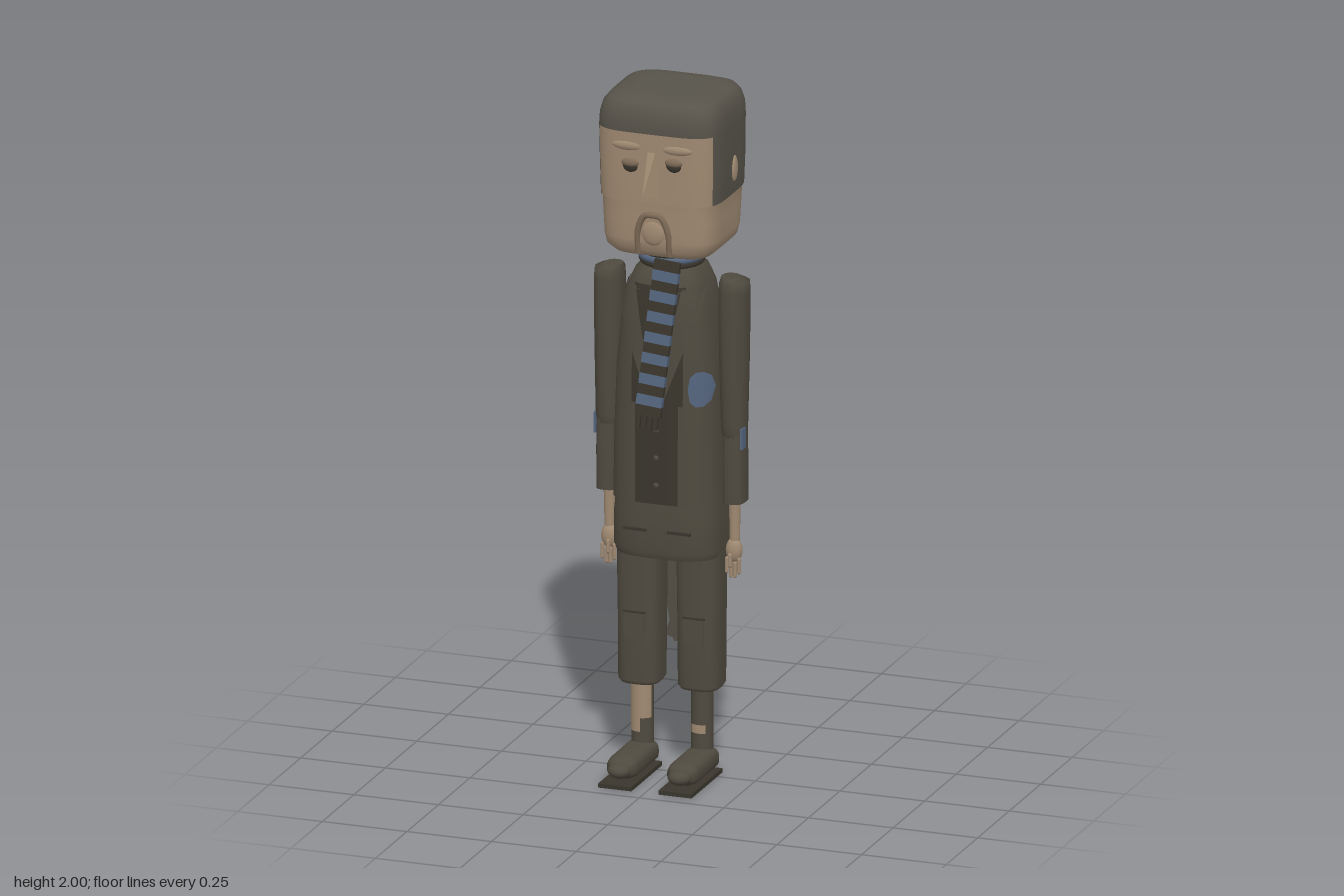
import * as THREE from 'three';
import { ConvexGeometry } from 'three/addons/geometries/ConvexGeometry.js';

const mat = (name, color) => {
  const m = new THREE.MeshStandardMaterial({ color, side: THREE.DoubleSide });
  m.name = name;
  return m;
};

// Loft of superellipse rings [y, halfX, halfZ, centreZ, centreX]; pick(x, y, z) chooses a material group
function loft(rings, n = 3, seg = 32, pick = null) {
  const pos = [], groups = [[], []];
  const point = ([y, w, d, cz = 0, cx = 0], j) => {
    const t = (j / seg) * Math.PI * 2, c = Math.cos(t), s = Math.sin(t);
    return [cx + w * Math.sign(c) * Math.abs(c) ** (2 / n), y, cz + d * Math.sign(s) * Math.abs(s) ** (2 / n)];
  };
  rings.forEach((r) => { for (let j = 0; j < seg; j++) pos.push(...point(r, j)); });
  for (let i = 0; i < rings.length - 1; i++) {
    for (let j = 0; j < seg; j++) {
      const k = (j + 1) % seg, a = i * seg + j, b = i * seg + k, c = b + seg, d = a + seg;
      const mid = [0, 1, 2].map((q) => (pos[a * 3 + q] + pos[c * 3 + q]) / 2);
      groups[pick && pick(...mid) ? 1 : 0].push(a, d, c, a, c, b);
    }
  }
  // End caps with their own vertices
  [0, rings.length - 1].forEach((i) => {
    const r = rings[i], base = pos.length / 3, top = i > 0;
    pos.push(r[4] || 0, r[0], r[3] || 0);
    for (let j = 0; j < seg; j++) pos.push(...point(r, j));
    for (let j = 0; j < seg; j++) {
      const p = base + 1 + j, q = base + 1 + ((j + 1) % seg);
      groups[pick && top ? 1 : 0].push(base, ...(top ? [q, p] : [p, q]));
    }
  });
  const g = new THREE.BufferGeometry();
  g.setAttribute('position', new THREE.Float32BufferAttribute(pos, 3));
  g.setIndex([...groups[0], ...groups[1]]);
  if (pick) {
    g.addGroup(0, groups[0].length, 0);
    g.addGroup(groups[0].length, groups[1].length, 1);
  }
  g.computeVertexNormals();
  return g;
}

// Coat body profile, also used to lay flat details on its front
const coatRings = [
  [0.81, 0.157, 0.124, -0.01], [1.0, 0.154, 0.122, -0.01], [1.2, 0.147, 0.12, -0.01], [1.36, 0.13, 0.114, -0.011],
  [1.43, 0.115, 0.108, -0.012], [1.475, 0.095, 0.094, -0.012], [1.5, 0.07, 0.07, -0.012],
];
function coatFront(x, y) {
  let i = 0;
  while (i < coatRings.length - 2 && coatRings[i + 1][0] < y) i++;
  const a = coatRings[i], b = coatRings[i + 1], t = (y - a[0]) / (b[0] - a[0]);
  const [w, d, cz] = [1, 2, 3].map((k) => a[k] + (b[k] - a[k]) * t);
  return cz + d * Math.max(0, 1 - Math.min(1, Math.abs(x / w)) ** 3) ** (1 / 3);
}
// Grid patch laid over the coat front; fn(u, v) gives [x, y]
function drape(fn, lift) {
  const g = new THREE.PlaneGeometry(1, 1, 10, 16), p = g.attributes.position;
  for (let i = 0; i < p.count; i++) {
    const [x, y] = fn(p.getX(i) + 0.5, p.getY(i) + 0.5);
    p.setXYZ(i, x * (1 + lift * 4), y, coatFront(x, y) + lift);
  }
  g.computeVertexNormals();
  return g;
}

export function createModel() {
  const coat = mat('coat brown', 0x4f4a3f), hair = mat('hair brown', 0x57534a), dark = mat('dark cloth', 0x3a362d);
  const skin = mat('skin', 0xa08a72), blue = mat('faded blue', 0x55657f), shadeSkin = mat('moustache tan', 0x7d6a56);
  const model = new THREE.Group();
  const add = (name, geo, m, pos = [0, 0, 0], parent = model) => {
    const mesh = new THREE.Mesh(geo, m);
    mesh.name = name;
    mesh.position.set(...pos);
    parent.add(mesh);
    return mesh;
  };
  const ball = (name, m, pos, scale, parent) => {
    const b = add(name, new THREE.SphereGeometry(1, 20, 14), m, pos, parent);
    b.scale.set(...scale);
    return b;
  };
  const box = (w, h, d) => new THREE.BoxGeometry(w, h, d);

  // Head: block with rounded edges, hair on top, sides and back
  const headRings = [
    [1.535, 0.11, 0.1, -0.012], [1.54, 0.14, 0.13, -0.012], [1.56, 0.162, 0.148, -0.012], [1.59, 0.168, 0.154, -0.013],
    [1.65, 0.171, 0.157, -0.014], [1.7, 0.173, 0.159, -0.014], [1.702, 0.178, 0.162, -0.015], [1.8, 0.181, 0.165, -0.016],
    [1.905, 0.182, 0.167, -0.014], [1.94, 0.18, 0.166, -0.014], [1.97, 0.172, 0.157, -0.014], [1.988, 0.157, 0.143, -0.014],
    [1.997, 0.135, 0.12, -0.014], [2.0, 0.1, 0.09, -0.014],
  ];
  add('head', loft(headRings, 4.5, 64, (x, y, z) => y > 1.905 || (y > 1.7 && z < 0.11)), [skin, hair]);
  const v = (x, y, z) => new THREE.Vector3(x, y, z);
  add('nose', new ConvexGeometry([v(-0.01, 1.735, 0.199), v(-0.03, 1.715, 0.14), v(0.025, 1.715, 0.14),
    v(-0.012, 1.86, 0.148), v(0.012, 1.86, 0.148), v(0, 1.79, 0.168)]), skin);
  for (const s of [-1, 1]) {
    const y = s > 0 ? 1.82 : 1.808;
    ball('ear', skin, [s * 0.181, 1.775, -0.02], [0.008, 0.038, 0.018]);
    ball('eye', dark, [s * 0.064, y, 0.147], [0.023, 0.02, 0.009]);
    ball('eyelid', shadeSkin, [s * 0.064, y + 0.008, 0.148], [0.026, 0.013, 0.011]);
    ball('brow', skin, [s * 0.07, 1.865, 0.143], [0.05, 0.016, 0.013]);
  }
  const droop = new THREE.CatmullRomCurve3([v(-0.046, 1.55, 0.133), v(-0.044, 1.62, 0.142), v(-0.024, 1.663, 0.145),
    v(0, 1.668, 0.147), v(0.024, 1.663, 0.145), v(0.044, 1.62, 0.142), v(0.046, 1.55, 0.133)]);
  add('moustache', new THREE.TubeGeometry(droop, 40, 0.009, 8), shadeSkin);
  ball('mouth', skin, [0, 1.615, 0.137], [0.036, 0.038, 0.012]);

  // Neck and wound scarf
  add('neck', new THREE.CylinderGeometry(0.07, 0.07, 0.08, 24), skin, [0, 1.52, -0.012]);
  [[1.498, dark, 0.082], [1.513, blue, 0.086], [1.53, dark, 0.083]].forEach(([y, m, r]) => {
    add('scarfLoop', new THREE.TorusGeometry(r, 0.011, 8, 32), m, [0, y, -0.012]).rotation.x = Math.PI / 2;
  });

  // Hanging scarf end with stripes and fringe
  const scarf = new THREE.Group();
  scarf.name = 'scarfEnd';
  scarf.position.set(0.03, 1.525, 0.102);
  scarf.rotation.set(-0.115, 0, -0.09);
  model.add(scarf);
  for (let i = 0; i < 15; i++) {
    add('scarfStripe', box(0.076, 0.0297, i % 2 ? 0.017 : 0.013), i % 2 ? blue : dark, [0, -0.015 - i * 0.0297, 0], scarf);
  }
  for (let i = 0; i < 4; i++) {
    add('fringe', box(0.01, 0.04, 0.009), dark, [-0.025 + i * 0.017, -0.463, 0], scarf);
  }

  // Coat with skirt, waistcoat, lapels, buttons and patch
  add('coatBody', loft(coatRings, 3, 48), coat);
  add('coatSkirt', loft([[0.65, 0.15, 0.112, -0.012], [0.67, 0.156, 0.12, -0.012], [0.76, 0.156, 0.125, -0.012],
    [0.84, 0.148, 0.12, -0.012]], 3, 48), coat);
  add('waistcoat', drape((u, w) => [(u - 0.5) * 0.15, 0.815 + w * 0.63], 0.002), dark);
  for (const s of [-1, 1]) {
    add('lapel', drape((u, w) => {
      const y = 1.08 + w * 0.36, inner = 0.003 + w * 0.062, outer = 0.008 + 0.105 * Math.min(1, w / 0.8);
      return [s * (inner + (outer - inner) * u), y];
    }, 0.008), coat);
    add('frontEdge', drape((u, w) => [s * (0.062 + u * 0.022), 0.815 + w * 0.29], 0.004), coat);
    add('pocketFold', box(0.07, 0.008, 0.006), dark, [s * 0.065, 0.735, 0.112]);
  }
  for (let i = 0; i < 3; i++) ball('button', coat, [0, 0.87 + i * 0.08, 0.117], [0.008, 0.008, 0.005]);
  add('bluePatch', drape((u, w) => {
    const a = u * Math.PI * 2;
    return [0.117 + 0.029 * w * Math.cos(a), 1.155 + 0.052 * w * Math.sign(Math.sin(a)) * Math.abs(Math.sin(a)) ** 0.7];
  }, 0.005), blue);

  // Tails crossing in a V behind the coat
  for (const s of [-1, 1]) {
    const tail = add('coatTail', box(0.07, 0.53, 0.014), coat, [s * 0.055, 0.612, -0.128 + s * 0.002]);
    tail.rotation.order = 'XYZ';
    tail.rotation.set(-0.16, 0, -s * 0.26);
  }

  // Winding key on the back
  add('keyStem', new THREE.CylinderGeometry(0.011, 0.011, 0.075, 12), skin, [0, 1.15, -0.158]).rotation.x = Math.PI / 2;
  ball('keyHub', dark, [0, 1.15, -0.194], [0.018, 0.018, 0.013]);
  for (const s of [-1, 1]) ball('keyWing', skin, [s * 0.058, 1.15, -0.194], [0.049, 0.041, 0.011]);

  for (const s of [-1, 1]) {
    const left = s > 0;
    // Arm: angular sleeve, narrower forearm, wrist and hand
    add('upperArm', loft([[1.0, 0.033, 0.038, -0.01, s * 0.185], [1.03, 0.036, 0.046, -0.01, s * 0.185],
      [1.25, 0.042, 0.05, -0.012, s * 0.184], [1.42, 0.044, 0.05, -0.012, s * 0.184],
      [1.45, 0.042, 0.046, -0.012, s * 0.184], [1.462, 0.026, 0.03, -0.012, s * 0.172]], 2.2, 10), coat);
    add('forearm', loft([[0.808, 0.031, 0.042, -0.013, s * 0.187], [0.93, 0.031, 0.043, -0.013, s * 0.187],
      [1.06, 0.029, 0.038, -0.013, s * 0.187]], 3, 16), coat);
    add('elbowPatch', box(0.006, 0.06, 0.03), blue, [s * 0.217, 1.0, 0.008]);
    add('wrist', new THREE.CylinderGeometry(0.017, 0.014, 0.13, 12), skin, [s * 0.185, 0.75, -0.012]);
    ball('palm', skin, [s * 0.184, 0.665, -0.01], [0.024, 0.036, 0.02]);
    for (let i = 0; i < 4; i++) {
      add('finger', new THREE.CapsuleGeometry(0.0055, 0.038, 4, 8), skin, [s * (0.166 + i * 0.012), 0.616 + (i % 3 ? -0.006 : 0.006), 0.0]);
    }
    add('thumb', new THREE.CapsuleGeometry(0.006, 0.03, 4, 8), skin, [s * 0.18, 0.64, 0.014]);

    // Leg: short trouser, knee patch, shin with worn stocking
    const x = s * 0.088;
    add('trouserLeg', loft([[0.257, 0.055, 0.056, -0.012, x], [0.268, 0.062, 0.064, -0.012, x],
      [0.45, 0.063, 0.066, -0.012, x], [0.66, 0.066, 0.067, -0.012, x]], 3, 32), coat);
    add('kneePatch', box(0.06, 0.07, 0.008), coat, [x, 0.435, 0.053]);
    add('kneeSeam', box(0.064, 0.005, 0.008), dark, [x, 0.472, 0.054]);
    const shin = (y0, y1, r, m, start = 0, len = Math.PI * 2, name = 'stocking') =>
      add(name, new THREE.CylinderGeometry(r, r, y1 - y0, 24, 1, true, start, len), m, [x, (y0 + y1) / 2, -0.015]);
    shin(0.06, 0.27, 0.031, coat);
    if (left) {
      shin(0.125, 0.15, 0.033, skin, -0.8, 1.4, 'bareShin');
      shin(0.225, 0.27, 0.033, skin, 2.2, 1.8, 'bareShin');
    } else {
      shin(0.15, 0.27, 0.033, skin, -1.5, 2.7, 'bareShin');
      shin(0.11, 0.15, 0.033, skin, -1.2, 1.3, 'bareShin');
      shin(0.22, 0.27, 0.033, skin, 2.2, 1.8, 'bareShin');
    }

    // Shoe: flat sole, long rounded upper, small toe
    add('sole', box(0.098, 0.012, 0.245), dark, [s * 0.089, 0.006, 0.0825]);
    const upper = add('shoeUpper', loft([[-0.032, 0.04, 0.028], [-0.025, 0.045, 0.033], [0.13, 0.045, 0.033],
      [0.155, 0.042, 0.029], [0.168, 0.03, 0.019]], 2.8, 24), coat, [s * 0.089, 0.046, 0]);
    upper.rotation.x = Math.PI / 2;
    ball('toe', coat, [s * 0.089, 0.044, 0.168], [0.033, 0.022, 0.032]);
  }
  return model;
}
